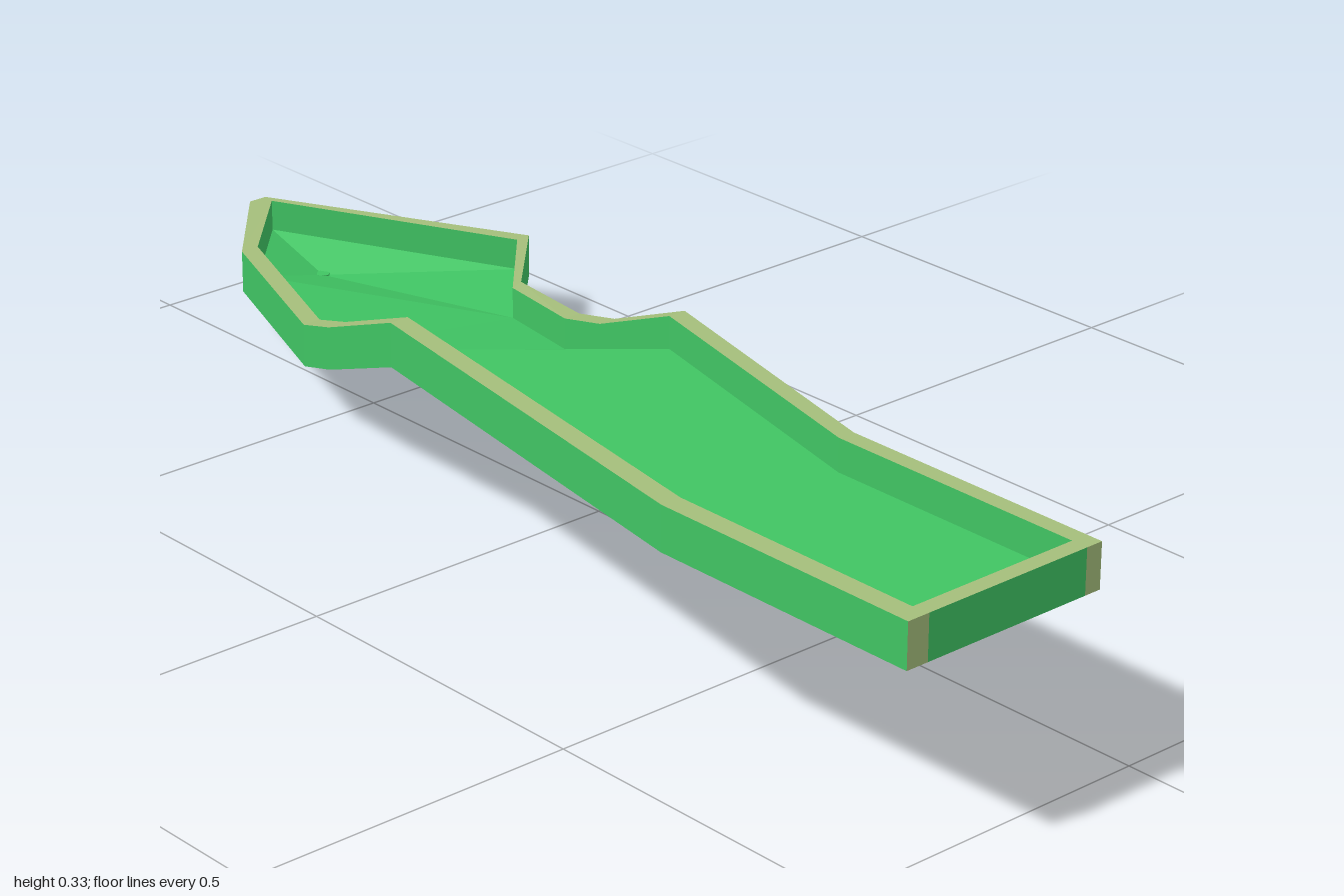
import * as THREE from 'three';

const WALL = 0.065, SLAB = 0.017;
const green = new THREE.MeshStandardMaterial({ color: 0x40c463, flatShading: true, side: THREE.DoubleSide });
const tan = new THREE.MeshStandardMaterial({ color: 0xa5be7b, flatShading: true, side: THREE.DoubleSide });

// Stations along the lane: outer [x, z], inner [x, z], underside height
const left = [
  [-0.40, 1.0, -0.368, 0.975, 0.267], [-0.40, 0.57, -0.368, 0.57, 0.267],
  [-0.285, -0.10, -0.255, -0.10, 0.267], [-0.173, -0.38, -0.143, -0.38, 0.141],
  [-0.125, -0.50, -0.096, -0.50, 0.094], [0.022, -0.84, 0.052, -0.84, 0.066],
];
const right = [
  [-0.07, 1.0, -0.096, 0.975, 0.267], [-0.07, 0.57, -0.096, 0.57, 0.267],
  [0.04, 0.13, 0.012, 0.13, 0.267], [0.144, -0.13, 0.116, -0.13, 0.145],
  [0.20, -0.27, 0.172, -0.27, 0.094], [0.26, -0.47, 0.235, -0.46, 0.066],
];
const corner = [0.395, -0.61, 0.37, -0.608, 0.063];
const apex = [[0.16, -1.0, 0.187, -0.98, 0.065], [0.19, -1.0, 0.187, -0.98, 0.065]];
const cup = [0.175, -0.84, 0.175, -0.84, 0.035];

const outer = (s, dy = 0) => [s[0], s[4] + dy, s[1]];
const inner = (s, dy = 0) => [s[2], s[4] + dy, s[3]];

// Mesh from a list of triangles and quads
function facesMesh(name, faces, material) {
  const pos = [];
  for (const [a, b, c, d] of faces) {
    pos.push(...a, ...b, ...c);
    if (d) pos.push(...a, ...c, ...d);
  }
  const g = new THREE.BufferGeometry();
  g.setAttribute('position', new THREE.Float32BufferAttribute(pos, 3));
  g.computeVertexNormals();
  const m = new THREE.Mesh(g, material);
  m.name = name;
  return m;
}

export function createModel() {
  const model = new THREE.Group();
  model.name = 'miniGolfLane';

  // Closed wall loop; the front wall is inset between the ends of the side walls
  const frontLeft = [-0.365, 1.0, ...left[0].slice(2)];
  const frontRight = [-0.096, 1.0, ...right[0].slice(2)];
  const loop = [...left, ...apex, corner, ...[...right].reverse(), frontRight, frontLeft];
  const ends = [left[0], apex[1], frontRight];
  const sides = [], rims = [], caps = [];
  loop.forEach((a, i) => {
    const b = loop[(i + 1) % loop.length];
    const face = [outer(b), outer(a), outer(a, WALL), outer(b, WALL)];
    (ends.includes(b) ? caps : sides).push(face);
    sides.push([inner(a), inner(b), inner(b, WALL), inner(a, WALL)]);
    rims.push([outer(a, WALL), inner(a, WALL), inner(b, WALL), outer(b, WALL)]);
    rims.push([outer(b), inner(b), inner(a), outer(a)]);
  });

  // Lane floor, then a fan of facets sinking to the cup
  const floor = [], under = [], underTan = [];
  for (let i = 0; i < left.length - 1; i++) {
    const q = [left[i], right[i], right[i + 1], left[i + 1]];
    floor.push(q.map((s) => inner(s, SLAB)));
    under.push(q.map((s) => inner(s)).reverse());
  }
  const bowl = [left[5], right[5], corner, apex[1]];
  bowl.forEach((a, i) => {
    const t = [a, bowl[(i + 1) % 4], cup];
    floor.push(t.map((s) => inner(s, SLAB)));
    (i === 1 ? underTan : under).push(t.map((s) => inner(s)).reverse());
  });

  model.add(
    facesMesh('wallSides', sides, green),
    facesMesh('wallRims', rims, tan),
    facesMesh('wallEnds', caps, tan),
    facesMesh('floor', floor, green),
    facesMesh('floorUnderside', under, green),
    facesMesh('bowlUndersidePanel', underTan, tan),
  );

  // Cup tube below the bowl
  const tube = new THREE.Mesh(new THREE.CylinderGeometry(0.011, 0.011, 0.055, 12), green);
  tube.name = 'cupTube';
  tube.position.set(cup[0], 0.0275, cup[1]);
  model.add(tube);
  return model;
}
